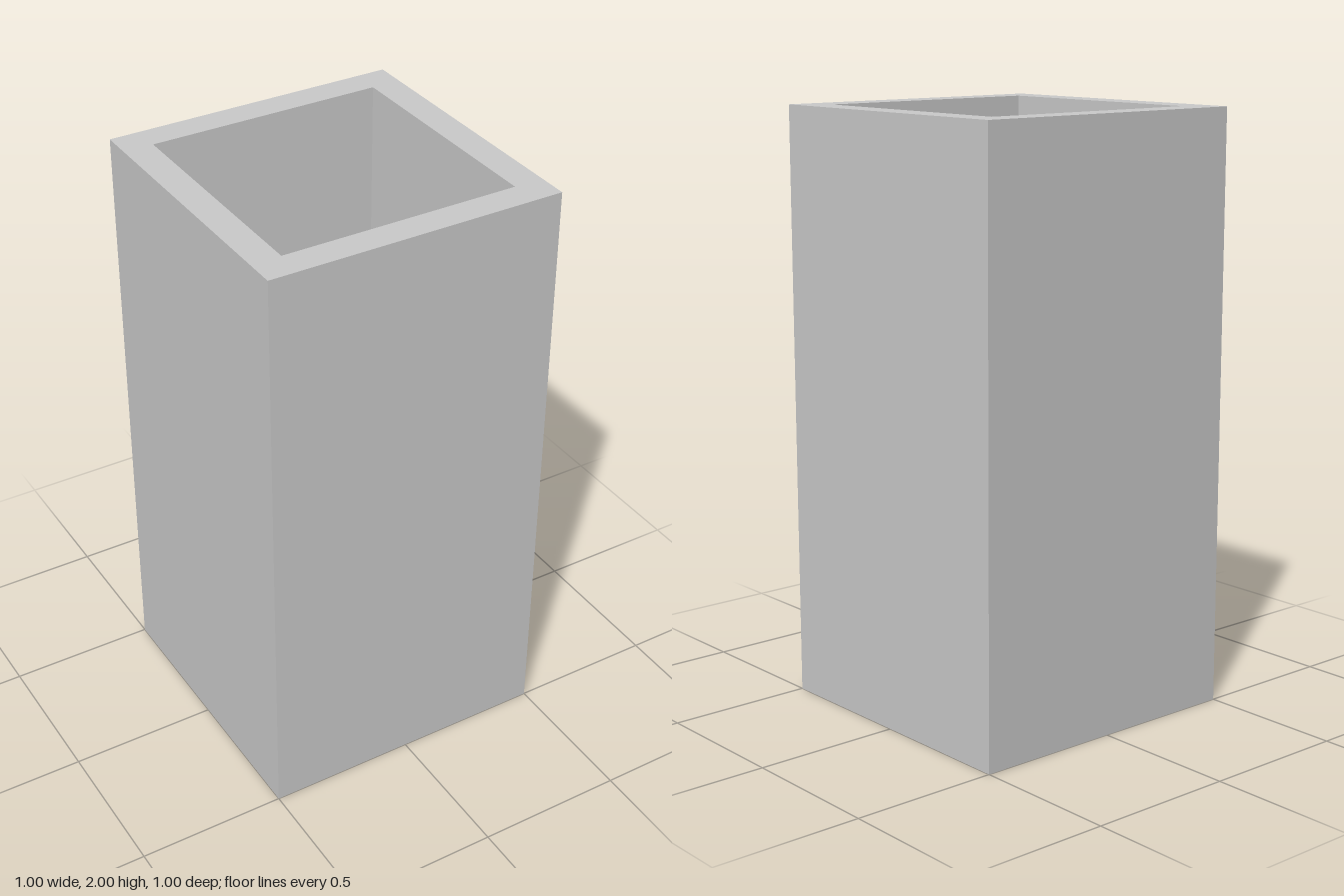
import * as THREE from 'three';

export function createModel() {
  const height = 2, half = 0.5, wall = 0.1, floor = 0.1;

  // Square planter: a four-sided lathe, so radii run to the corners
  const corner = (halfWidth, y) => new THREE.Vector2(halfWidth * Math.SQRT2, y);
  const profile = [
    corner(0, 0), // underside
    corner(half, 0),
    corner(half, height), // outer wall
    corner(half - wall, height), // rim
    corner(half - wall, floor), // inner wall
    corner(0, floor), // inner floor
  ];
  const geometry = new THREE.LatheGeometry(profile, 4, Math.PI / 4).toNonIndexed();
  geometry.computeVertexNormals();

  const planter = new THREE.Mesh(
    geometry,
    new THREE.MeshStandardMaterial({ color: 0xcccccc, flatShading: true })
  );
  planter.name = 'squarePlanter';

  const model = new THREE.Group();
  model.name = 'planter';
  model.add(planter);
  return model;
}
